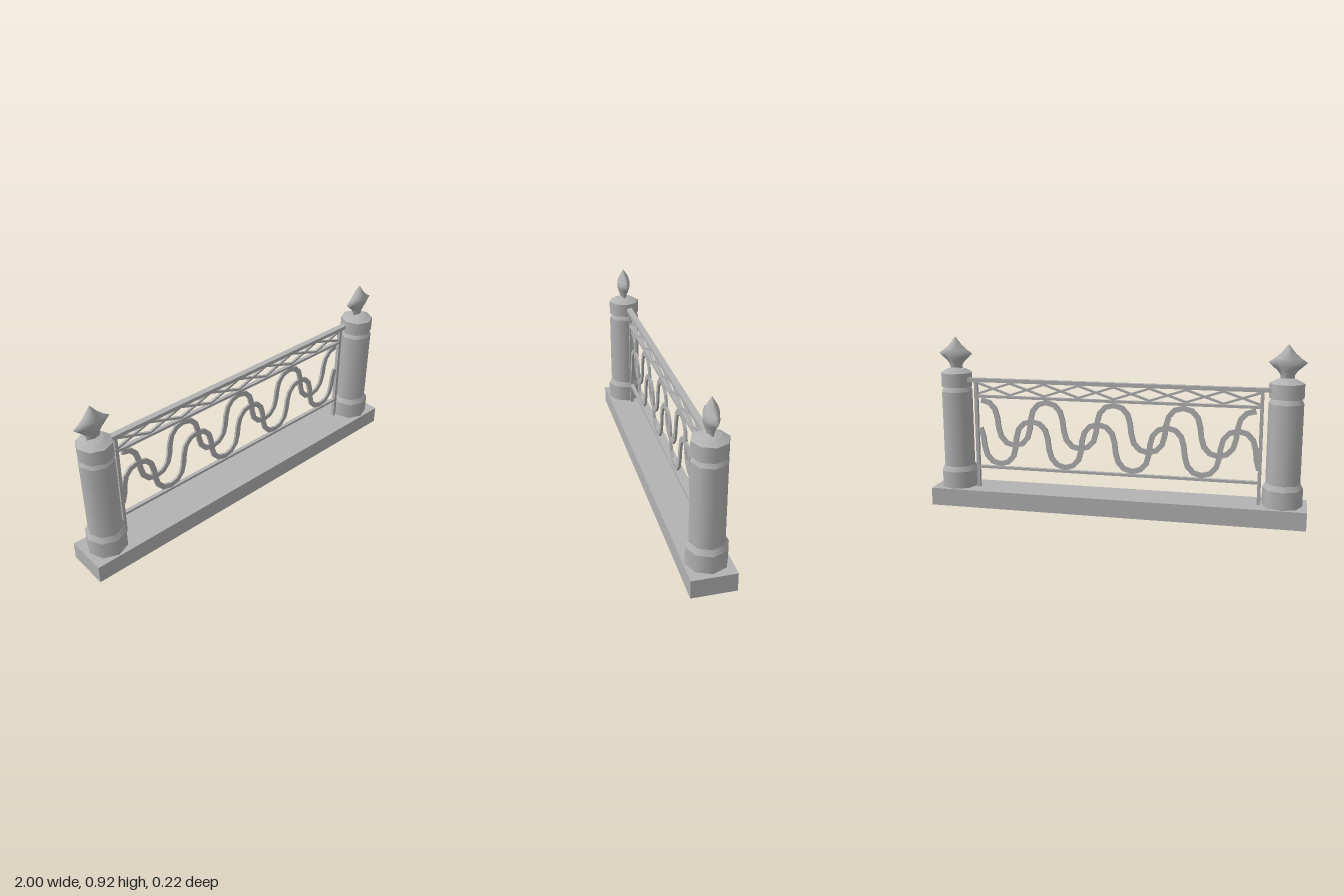
import * as THREE from 'three';

const stone = new THREE.MeshStandardMaterial({ color: 0xb2b2b2 });
stone.name = 'grey stone';
const PANEL_Z = -0.017;

function add(parent, name, geometry, x = 0, y = 0, z = 0) {
  const mesh = new THREE.Mesh(geometry, stone);
  mesh.name = name;
  mesh.position.set(x, y, z);
  parent.add(mesh);
  return mesh;
}

function box(parent, name, x0, x1, y0, y1, depth, z = PANEL_Z) {
  add(parent, name, new THREE.BoxGeometry(x1 - x0, y1 - y0, depth), (x0 + x1) / 2, (y0 + y1) / 2, z);
}

// Four-pointed finial lofted from lens-shaped sections: [y, half width, half depth]
function finialGeometry() {
  const rows = [[0.74, 0.034, 0.014], [0.765, 0.036, 0.022], [0.785, 0.05, 0.03], [0.805, 0.073, 0.036],
    [0.825, 0.095, 0.038], [0.845, 0.066, 0.036], [0.87, 0.037, 0.029], [0.892, 0.019, 0.016], [0.915, 0.001, 0.001]];
  const section = [[1, 0], [0.5, 0.62], [0, 1], [-0.5, 0.62], [-1, 0], [-0.5, -0.62], [0, -1], [0.5, -0.62]];
  const n = section.length, pos = [], index = [];
  for (const [y, w, d] of rows) for (const [x, z] of section) pos.push(x * w, y, z * d);
  for (let r = 0; r < rows.length - 1; r++) {
    for (let i = 0; i < n; i++) {
      const a = r * n + i, b = r * n + (i + 1) % n;
      index.push(a, a + n, b, b, a + n, b + n);
    }
  }
  const g = new THREE.BufferGeometry();
  g.setAttribute('position', new THREE.Float32BufferAttribute(pos, 3));
  g.setIndex(index);
  g.computeVertexNormals();
  return g;
}

// Flat band of even width following a line of points, given depth in z
function ribbonGeometry(points, width, depth) {
  const left = [], right = [];
  points.forEach((p, i) => {
    const a = points[Math.max(i - 1, 0)], b = points[Math.min(i + 1, points.length - 1)];
    const t = b.clone().sub(a).normalize().multiplyScalar(width / 2);
    left.push(new THREE.Vector2(p.x - t.y, p.y + t.x));
    right.push(new THREE.Vector2(p.x + t.y, p.y - t.x));
  });
  const shape = new THREE.Shape([...right, ...left.reverse()]);
  const g = new THREE.ExtrudeGeometry(shape, { depth, bevelEnabled: false });
  return g.translate(0, 0, -depth / 2);
}

// Swooping wave with steep sides, cut off at the panel ends
function wavePoints(peakX, low, high, period, end) {
  const points = [], steps = 14;
  for (let i = -4 * steps; i <= 4 * steps; i++) {
    const t = (i / steps) * Math.PI * 2;
    const x = peakX + (period * t) / (Math.PI * 2) + 0.023 * Math.sin(2 * t);
    const y = (low + high) / 2 + ((high - low) / 2) * Math.cos(t);
    if (Math.abs(x) <= end) points.push(new THREE.Vector2(x, y));
  }
  return points;
}

function createPost() {
  const post = new THREE.Group();
  // Octagonal bands: name, lower y, upper y, lower radius, upper radius
  const bands = [
    ['postFoot', 0.095, 0.186, 0.102, 0.102],
    ['footBevel', 0.186, 0.213, 0.102, 0.087],
    ['shaft', 0.213, 0.622, 0.087, 0.087],
    ['neck', 0.622, 0.648, 0.087, 0.073],
    ['capBand', 0.648, 0.722, 0.087, 0.087],
    ['capSlope', 0.722, 0.741, 0.087, 0.05],
    ['capTop', 0.741, 0.75, 0.05, 0.012],
  ];
  for (const [name, y0, y1, r0, r1] of bands) {
    add(post, name, new THREE.CylinderGeometry(r1, r0, y1 - y0, 8), 0, (y0 + y1) / 2, 0);
  }
  add(post, 'finial', finialGeometry());
  return post;
}

export function createModel() {
  const model = new THREE.Group();
  model.name = 'fenceSection';

  box(model, 'plinth', -1, 1, 0, 0.095, 0.22, 0);

  for (const side of [1, -1]) {
    const post = createPost();
    post.name = side > 0 ? 'leftPost' : 'rightPost';
    post.position.x = side * 0.875;
    model.add(post);
  }

  // Rails and uprights
  const panel = new THREE.Group();
  panel.name = 'railingPanel';
  model.add(panel);
  box(panel, 'topRail', -0.81, 0.81, 0.677, 0.697, 0.032);
  box(panel, 'middleRail', -0.755, 0.755, 0.592, 0.606, 0.02);
  box(panel, 'bottomRail', -0.755, 0.755, 0.202, 0.216, 0.02);
  for (const s of [-1, 1]) box(panel, 'upright', s * 0.7585 - 0.0085, s * 0.7585 + 0.0085, 0.095, 0.678, 0.02);

  // Two interlaced scroll bands
  const period = 0.365;
  add(panel, 'upperScroll', ribbonGeometry(wavePoints(0, 0.336, 0.578, period, 0.758), 0.028, 0.012), 0, 0, PANEL_Z);
  add(panel, 'lowerScroll', ribbonGeometry(wavePoints(0.083, 0.23, 0.472, period, 0.758), 0.028, 0.012), 0, 0, PANEL_Z);

  // Crossed lattice under the top rail
  const cells = 8, step = 1.51 / cells;
  for (const flip of [0, 1]) {
    const points = [];
    for (let i = 0; i <= cells; i++) {
      points.push(new THREE.Vector2(-0.755 + i * step, (i + flip) % 2 ? 0.61 : 0.673));
    }
    add(panel, 'lattice', ribbonGeometry(points, 0.012, 0.012), 0, 0, PANEL_Z);
  }
  return model;
}
